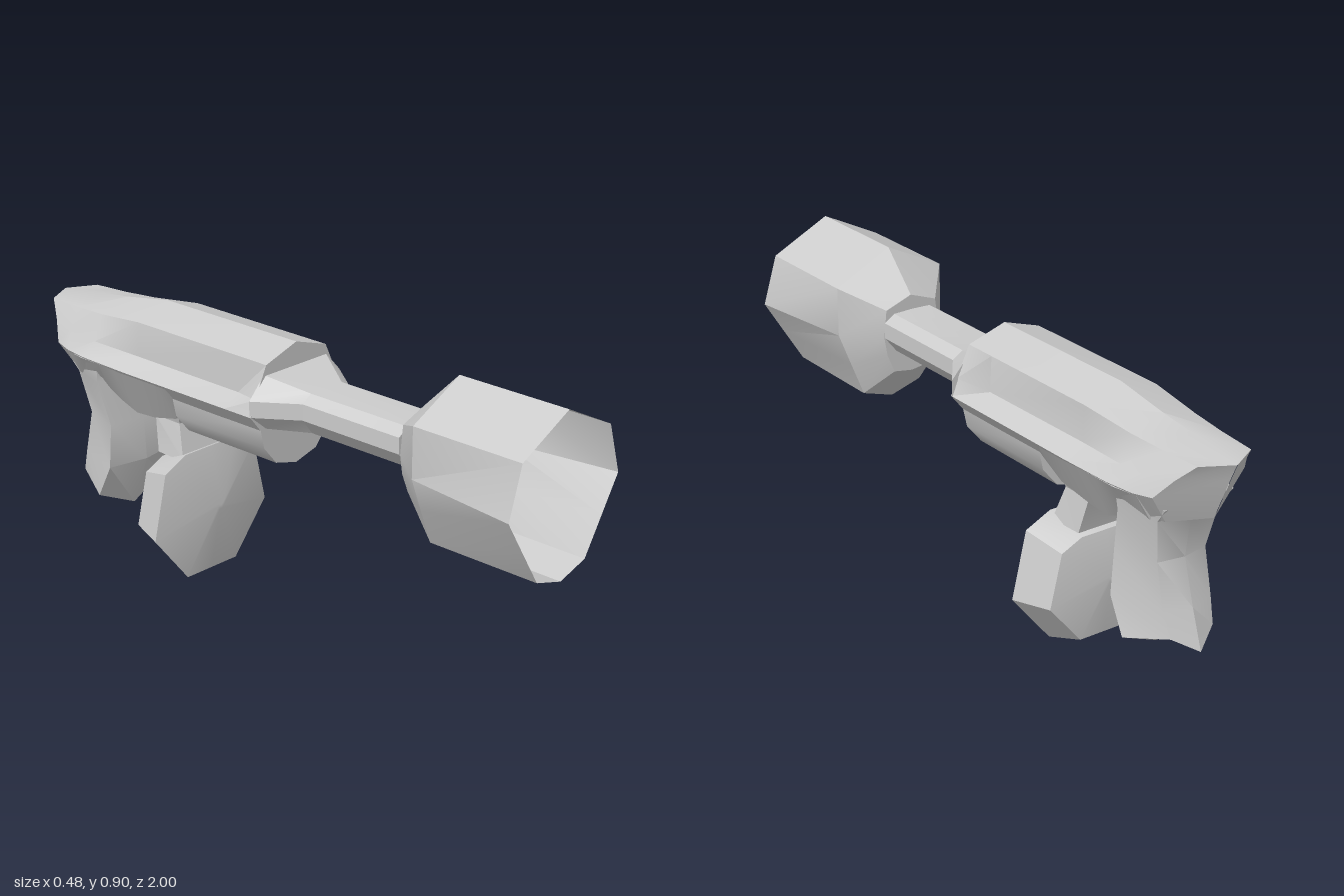
import * as THREE from 'three';
import { toCreasedNormals } from 'three/addons/utils/BufferGeometryUtils.js';

// A ring is given as its +x half, from one centre-line point to the other; mirror the rest.
function mirrorRing(half) {
  const other = half.slice(1, -1).reverse().map(([x, y, z]) => [-x, y, z]);
  return [...half, ...other];
}

// Half ring lying in the plane z.
const atZ = (z, pts) => pts.map(([x, y]) => [x, y, z]);

// Half ring around a vertical part: back centre, back corner, front corner, front centre.
const upright = (y, wBack, wFront, back, front, ridge = 0) => [
  [0, y, back], [wBack, y, back + ridge], [wFront, y, front - ridge], [0, y, front],
];

// Skin a list of half rings, ordered front to back or top to bottom.
function loft(halves, { capStart = true, capEnd = true, crease = 0.4 } = {}) {
  const rings = halves.map(mirrorRing);
  const n = rings[0].length;
  const pos = [];
  const tri = (a, b, c) => pos.push(...a, ...b, ...c);
  for (let i = 0; i < rings.length - 1; i++) {
    for (let j = 0; j < n; j++) {
      const k = (j + 1) % n;
      const [a, b, c, d] = [rings[i][j], rings[i][k], rings[i + 1][k], rings[i + 1][j]];
      tri(a, b, d);
      tri(b, c, d);
    }
  }
  const cap = (ring, flip) => {
    const centre = [0, 1, 2].map((c) => ring.reduce((s, p) => s + p[c], 0) / n);
    ring.forEach((p, j) => {
      const q = ring[(j + 1) % n];
      if (flip) tri(centre, q, p); else tri(centre, p, q);
    });
  };
  if (capStart) cap(rings[0], true);
  if (capEnd) cap(rings[rings.length - 1], false);
  const geo = new THREE.BufferGeometry();
  geo.setAttribute('position', new THREE.Float32BufferAttribute(pos, 3));
  return toCreasedNormals(geo, crease);
}

export function createModel() {
  const group = new THREE.Group();
  const grey = new THREE.MeshStandardMaterial({ color: 0xcccccc });
  const thin = new THREE.MeshStandardMaterial({ color: 0xcccccc, side: THREE.DoubleSide });
  const add = (name, geo, material = grey) => {
    const mesh = new THREE.Mesh(geo, material);
    mesh.name = name;
    group.add(mesh);
  };

  // Open, hollow muzzle with a closed back
  add('muzzle', loft([
    atZ(1, [[0, 0.9], [0.19, 0.805], [0.238, 0.65], [0.172, 0.543], [0.105, 0.435], [0, 0.403]]),
    atZ(0.63, [[0, 0.9], [0.19, 0.805], [0.19, 0.65], [0.148, 0.543], [0.105, 0.435], [0, 0.403]]),
    atZ(0.51, [[0, 0.78], [0.09, 0.747], [0.1, 0.66], [0.09, 0.6], [0.065, 0.54], [0, 0.53]]),
  ], { capStart: false }), thin);

  // Faceted barrel flaring into the body
  const barrel = [[0, 0.735], [0.065, 0.733], [0.1, 0.71], [0.1, 0.66], [0.06, 0.61], [0, 0.6]];
  add('barrel', loft([
    atZ(0.505, barrel),
    atZ(0.14, barrel),
    atZ(0.015, [[0, 0.775], [0.13, 0.775], [0.19, 0.71], [0.19, 0.66], [0.13, 0.61], [0, 0.6]]),
  ]));

  // Body: ridge, shoulder, groove, ledge, underside; the tail closes on the centre line
  add('body', loft([
    atZ(0.02, [[0, 0.845], [0.125, 0.805], [0.17, 0.71], [0.19, 0.66], [0.15, 0.61], [0, 0.6]]),
    atZ(-0.09, [[0, 0.845], [0.125, 0.805], [0.13, 0.695], [0.19, 0.66], [0.15, 0.61], [0, 0.6]]),
    atZ(-0.52, [[0, 0.845], [0.125, 0.805], [0.13, 0.697], [0.19, 0.66], [0.14, 0.6], [0, 0.58]]),
    atZ(-0.7, [[0, 0.815], [0.112, 0.785], [0.145, 0.705], [0.188, 0.662], [0.13, 0.585], [0, 0.57]]),
    [[0, 0.8, -0.82], [0.102, 0.778, -0.82], [0.145, 0.72, -0.81],
      [0.176, 0.662, -0.79], [0.12, 0.575, -0.78], [0, 0.57, -0.8]],
    [[0, 0.775, -1], [0.092, 0.775, -0.95], [0.125, 0.725, -0.9],
      [0.16, 0.668, -0.855], [0.1, 0.575, -0.84], [0, 0.59, -0.92]],
    [[0, 0.775, -1], [0.001, 0.774, -1], [0.001, 0.725, -0.978],
      [0.001, 0.665, -0.952], [0.001, 0.591, -0.92], [0, 0.59, -0.92]],
  ], { capEnd: false, crease: 0.5 }));

  // Rounded fore-end under the front of the body
  const foreEnd = [[0, 0.615], [0.15, 0.615], [0.135, 0.55], [0.085, 0.49], [0, 0.467]];
  add('foreEnd', loft([atZ(0.02, foreEnd), atZ(-0.35, foreEnd)], { crease: 0.7 }));

  // Belly: flows from the ledge down to a narrow underside, rows of z, half width, depth
  add('belly', loft([
    [-0.345, 0.14, 0.6], [-0.39, 0.1, 0.52], [-0.5, 0.085, 0.49], [-0.58, 0.085, 0.485],
    [-0.64, 0.09, 0.51], [-0.72, 0.11, 0.57], [-0.8, 0.12, 0.572],
  ].map(([z, w, y]) => atZ(z, [[0, 0.67], [z < -0.75 ? 0.17 : 0.186, 0.657], [w, y], [0, y]])),
  { crease: 0.6 }));

  // Neck holding the magazine
  add('neck', loft([
    upright(0.56, 0.1, 0.11, -0.53, -0.37),
    upright(0.5, 0.085, 0.085, -0.495, -0.39),
    upright(0.39, 0.1, 0.105, -0.47, -0.355),
  ]));

  // Magazine: polygonal plate with bulging front and back
  const outline = [[0, 0.415], [0.105, 0.415], [0.19, 0.375], [0.238, 0.167], [0.105, 0.003], [0, 0.003]];
  const magFront = outline.map(([x, y]) => [x, y, -0.345]);
  const magBack = outline.map(([x, y]) => [x * 0.82, 0.2 + (y - 0.2) * 0.8, -0.468]);
  const bulge = (z) => outline.map(([x, y]) => [x * 0.05, 0.23 + (y - 0.23) * 0.05, z]);
  add('magazine', loft([bulge(-0.3), magFront, magBack, bulge(-0.5)], { crease: 0.6 }));

  // Curved rear grip, wider at the front, with a keeled foot
  add('rearGrip', loft([
    upright(0.62, 0.12, 0.15, -0.86, -0.69),
    upright(0.57, 0.11, 0.145, -0.83, -0.685, 0.01),
    upright(0.43, 0.085, 0.125, -0.81, -0.645, 0.015),
    upright(0.29, 0.085, 0.135, -0.85, -0.635, 0.025),
    [[0, 0.17, -0.89], [0.075, 0.215, -0.85], [0.135, 0.18, -0.715], [0, 0.12, -0.7]],
  ], { crease: 0.45 }));

  return group;
}
